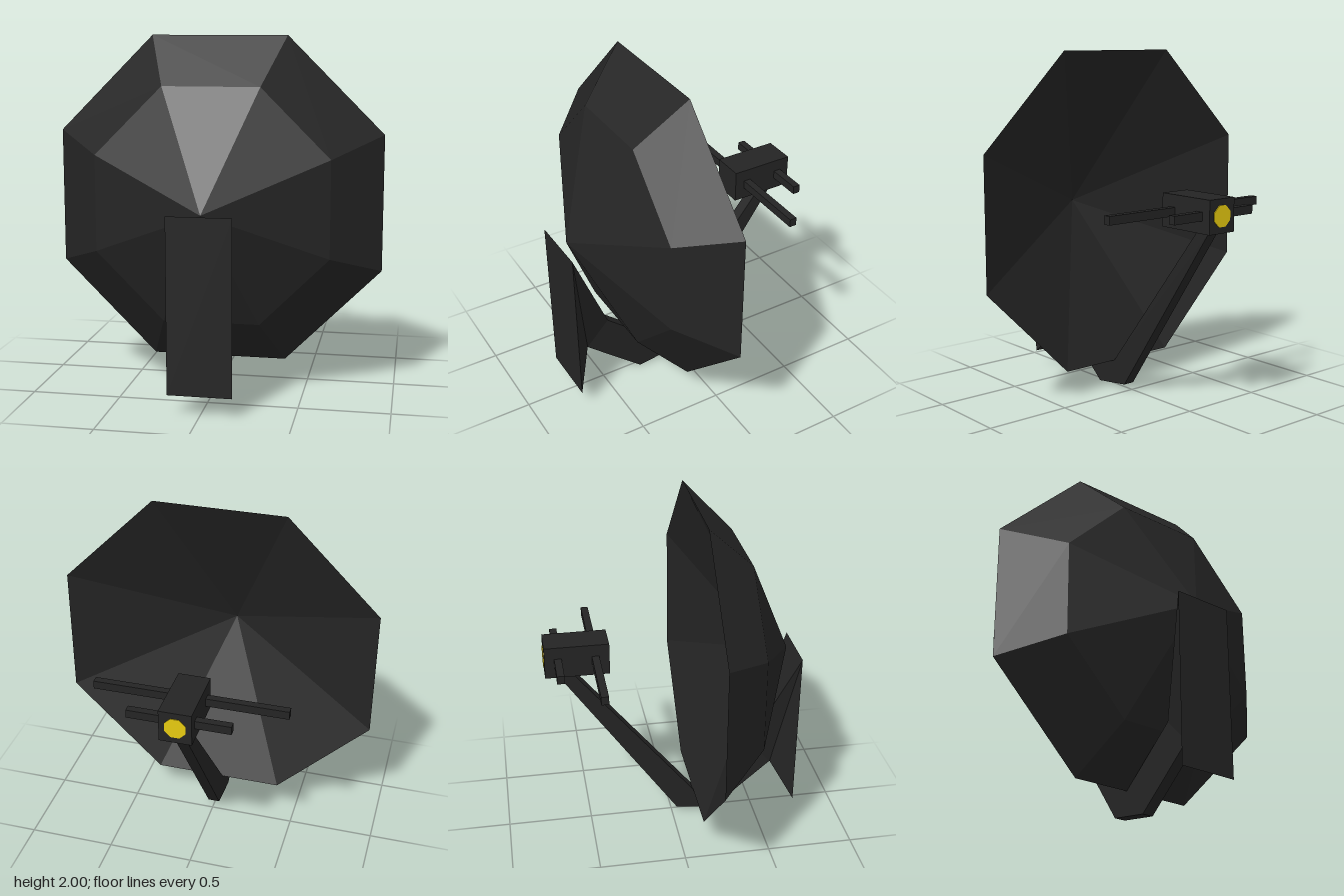
import * as THREE from 'three';

const charcoal = new THREE.MeshStandardMaterial({ color: 0x242424 });
charcoal.name = 'charcoal';
const yellow = new THREE.MeshStandardMaterial({ color: 0xe8cc10 });
yellow.name = 'yellow';

// Give every face its own flat normal
function faceted(geometry) {
  const g = geometry.index ? geometry.toNonIndexed() : geometry;
  g.computeVertexNormals();
  return g;
}

export function createModel() {
  const group = new THREE.Group();
  const add = (name, geometry, material = charcoal) => {
    const mesh = new THREE.Mesh(geometry, material);
    mesh.name = name;
    group.add(mesh);
    return mesh;
  };

  // Octagonal dish: hollow cone behind, two-step shell in front
  const k = 1 / Math.cos(Math.PI / 8);
  const profile = [[0, 0.57], [0.92, 0.13], [0.65, 0.4], [0, 0.685]]
    .map(([r, z]) => new THREE.Vector2(r * k, z));
  const dish = faceted(new THREE.LatheGeometry(profile, 8, Math.PI / 8));
  dish.rotateX(Math.PI / 2);
  add('dish', dish).position.y = 1.077;

  // Bent support arm, drawn in (z, y) and extruded across x
  const armWidth = 0.068;
  const outline = [[0.61, 0.305], [0.26, 0.0], [0.03, 0.03], [-0.68, 1.06],
    [-0.595, 1.06], [0.127, 0.155], [0.47, 0.452]];
  const arm = new THREE.ExtrudeGeometry(
    new THREE.Shape(outline.map(([z, y]) => new THREE.Vector2(z, y))),
    { depth: armWidth, bevelEnabled: false });
  arm.translate(0, 0, -armWidth / 2);
  arm.rotateY(-Math.PI / 2);
  add('supportArm', arm);

  // Mount flaring from the arm end to the tall front plate
  const side = [[0.177, 1.077, 0.735], [0.177, 0.11, 0.728],
    [0.034, 0.305, 0.61], [0.034, 0.452, 0.47]];
  const corners = [...side, ...side.map(([x, y, z]) => [-x, y, z])];
  const mount = new THREE.BufferGeometry();
  mount.setAttribute('position', new THREE.Float32BufferAttribute(corners.flat(), 3));
  mount.setIndex([
    0, 1, 2, 0, 2, 3, // left
    4, 6, 5, 4, 7, 6, // right
    0, 4, 5, 0, 5, 1, // front
    0, 3, 7, 0, 7, 4, // top
    1, 5, 6, 1, 6, 2, // bottom
  ]);
  add('wallMount', faceted(mount));

  // Receiver head with two cross rods
  add('receiverHead', new THREE.BoxGeometry(0.182, 0.187, 0.366)).position.set(0, 1.141, -0.549);
  for (const [name, length, z] of [['longRod', 1.1, -0.445], ['shortRod', 0.58, -0.656]]) {
    add(name, new THREE.BoxGeometry(length, 0.048, 0.042)).position.set(0, 1.141, z);
  }

  // Yellow lens on the rear of the head
  const lens = new THREE.CylinderGeometry(0.063, 0.063, 0.006, 8);
  lens.rotateY(Math.PI / 8);
  lens.rotateX(Math.PI / 2);
  add('lens', faceted(lens), yellow).position.set(0, 1.141, -0.733);

  return group;
}
